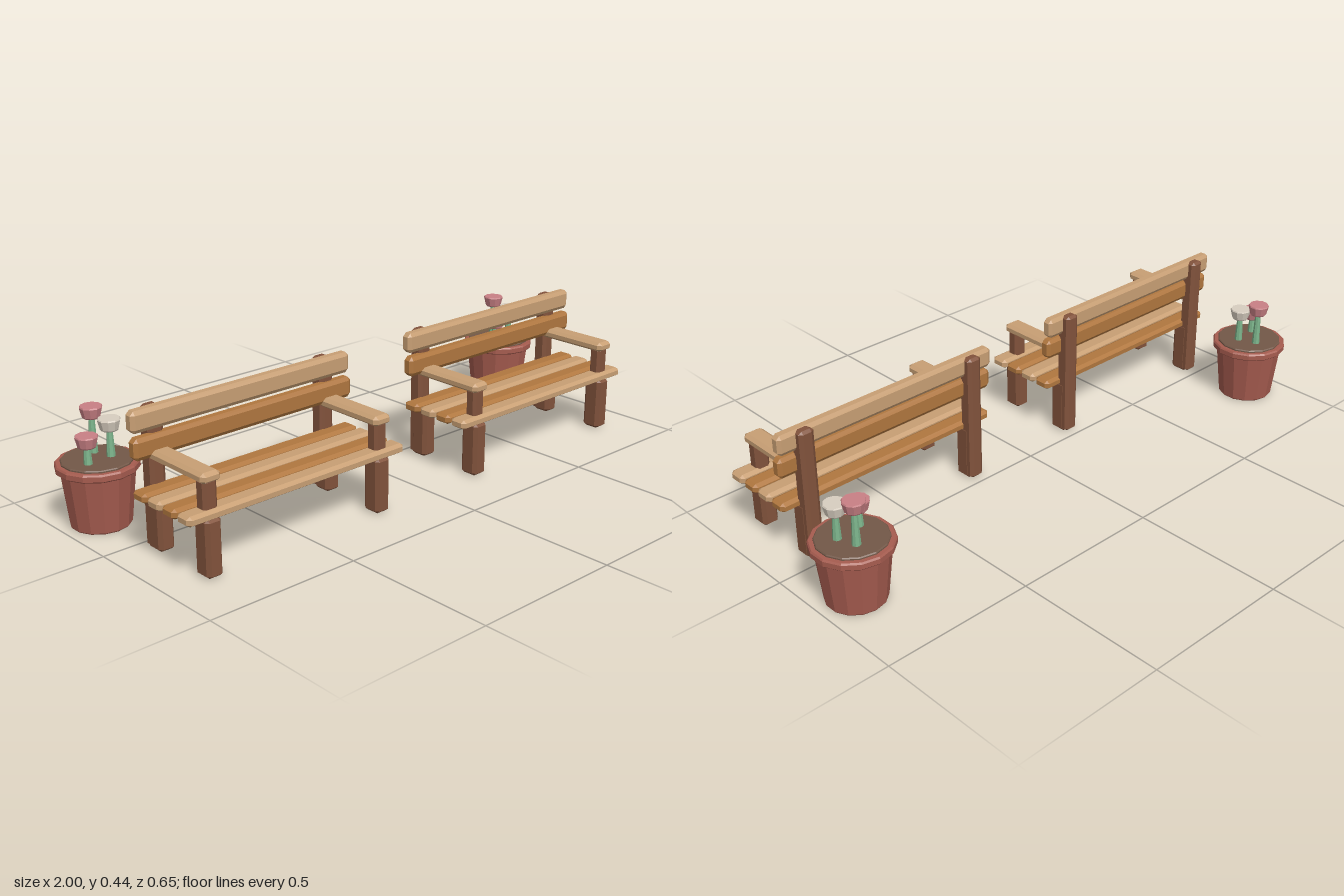
import * as THREE from 'three';
import { ConvexGeometry } from 'three/addons/geometries/ConvexGeometry.js';

const mat = (name, color) => {
  const m = new THREE.MeshStandardMaterial({ color, flatShading: true });
  m.name = name;
  return m;
};

// Box with chamfered edges, given by its size and the chamfer along each axis
function chamferBox(w, h, d, [bx, by, bz]) {
  const [x, y, z] = [w / 2, h / 2, d / 2];
  const pts = [];
  for (const i of [-1, 1]) for (const j of [-1, 1]) for (const k of [-1, 1]) {
    pts.push(new THREE.Vector3(i * x, j * (y - by), k * (z - bz)));
    pts.push(new THREE.Vector3(i * (x - bx), j * y, k * (z - bz)));
    pts.push(new THREE.Vector3(i * (x - bx), j * (y - by), k * z));
  }
  return new ConvexGeometry(pts);
}

function add(parent, name, geometry, material, x = 0, y = 0, z = 0) {
  const mesh = new THREE.Mesh(geometry, material);
  mesh.name = name;
  mesh.position.set(x, y, z);
  parent.add(mesh);
  return mesh;
}

const lathe = (points, sides) =>
  new THREE.LatheGeometry(points.map(([r, y]) => new THREE.Vector2(r, y)), sides);

export function createModel() {
  const lightWood = mat('light wood', 0xc89f74);
  const midWood = mat('mid wood', 0xb0773f);
  const darkWood = mat('dark wood', 0x82533c);
  const clay = mat('clay', 0xa65c4f);
  const soilMat = mat('soil', 0x735848);
  const stemMat = mat('stem green', 0x7db58c);
  const pink = mat('pink petal', 0xc98085);
  const cream = mat('cream petal', 0xd8cec0);

  function makeBench() {
    const bench = new THREE.Group();
    bench.name = 'bench';

    // Seat slats in alternating woods, front to back
    const seatSlat = chamferBox(0.802, 0.031, 0.064, [0.012, 0.008, 0.013]);
    [0.296, 0.227, 0.158, 0.088].forEach((z, i) =>
      add(bench, 'seatSlat', seatSlat, i % 2 ? midWood : lightWood, 0, 0.189, z));

    // Backrest slats
    const backSlat = chamferBox(0.802, 0.066, 0.036, [0.012, 0.012, 0.008]);
    add(bench, 'upperBackSlat', backSlat, lightWood, 0, 0.403, 0.062);
    add(bench, 'lowerBackSlat', backSlat, midWood, 0, 0.325, 0.07);

    // Legs, posts and armrests on both sides
    const frontLeg = chamferBox(0.054, 0.178, 0.066, [0.01, 0.009, 0.012]);
    const backLeg = chamferBox(0.054, 0.184, 0.066, [0.01, 0.009, 0.012]);
    const backPost = chamferBox(0.052, 0.43, 0.05, [0.012, 0.008, 0.009]);
    const armPost = chamferBox(0.048, 0.12, 0.041, [0.009, 0.008, 0.008]);
    const armrest = chamferBox(0.066, 0.032, 0.268, [0.012, 0.009, 0.014]);
    for (const x of [-0.315, 0.315]) {
      add(bench, 'frontLeg', frontLeg, darkWood, x, 0.089, 0.293);
      add(bench, 'backLeg', backLeg, darkWood, x, 0.092, 0.066);
      add(bench, 'backPost', backPost, darkWood, x, 0.219, 0.047);
      add(bench, 'armPost', armPost, darkWood, x, 0.23, 0.293);
      add(bench, 'armrest', armrest, lightWood, x, 0.297, 0.19);
    }
    return bench;
  }

  function makePlanter() {
    const planter = new THREE.Group();
    planter.name = 'planter';
    const SIDES = 14;

    // Tapered pot, overhanging rim and soil
    add(planter, 'pot', lathe([[0, 0], [0.09, 0], [0.093, 0.004], [0.113, 0.18], [0, 0.18]], SIDES), clay);
    add(planter, 'rim', lathe([[0, 0.176], [0.122, 0.176], [0.126, 0.18], [0.126, 0.196],
      [0.122, 0.201], [0, 0.201]], SIDES), clay);
    add(planter, 'soil', lathe([[0, 0.2], [0.109, 0.2], [0.109, 0.205], [0.106, 0.208], [0, 0.208]], SIDES), soilMat);

    // Three flowers: x, z, height of the top, petal colour
    const bloom = lathe([[0, -0.037], [0.025, -0.037], [0.028, -0.033], [0.035, -0.004],
      [0.033, 0], [0, 0]], 10);
    const flowers = [[0.016, -0.042, 0.355, pink], [-0.046, 0.026, 0.297, pink], [0.038, 0.017, 0.327, cream]];
    for (const [x, z, top, petal] of flowers) {
      const length = top - 0.03 - 0.205;
      add(planter, 'stem', new THREE.CylinderGeometry(0.009, 0.0135, length, 8), stemMat, x, 0.205 + length / 2, z);
      add(planter, 'bloom', bloom, petal, x, top, z);
    }
    return planter;
  }

  // One bench and one planter on each side
  const model = new THREE.Group();
  model.name = 'benchesAndPlanters';
  for (const side of [-1, 1]) {
    const bench = makeBench();
    bench.position.x = side * 0.53;
    const planter = makePlanter();
    planter.position.set(side * 0.877, 0, -0.201);
    model.add(bench, planter);
  }
  return model;
}
